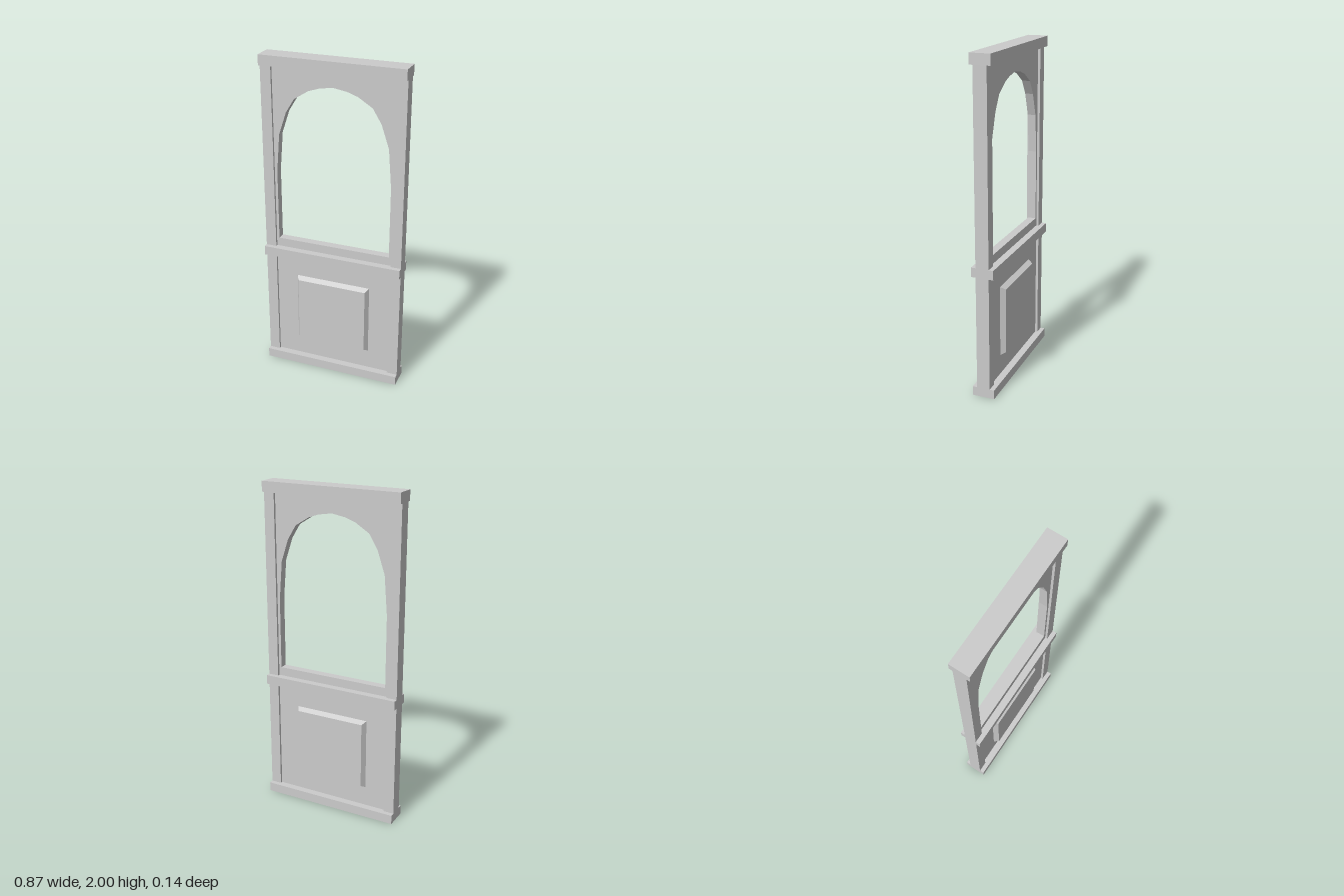
import * as THREE from 'three';

const material = new THREE.MeshStandardMaterial({ color: 0xcccccc, flatShading: true });

export function createModel() {
  const group = new THREE.Group();
  const add = (name, geometry, x = 0, y = 0, z = 0) => {
    const mesh = new THREE.Mesh(geometry, material);
    mesh.name = name;
    mesh.position.set(x, y, z);
    group.add(mesh);
    return mesh;
  };
  const W = 0.866;      // overall width
  const panelZ = 0.025; // half thickness of the recessed panels

  // Horizontal rails: name, bottom, top, depth
  for (const [name, y0, y1, depth] of [
    ['bottomRail', 0, 0.057, 0.136],
    ['middleRail', 0.753, 0.81, 0.136],
    ['topRail', 1.938, 2, 0.123],
  ]) add(name, new THREE.BoxGeometry(W, y1 - y0, depth), 0, (y0 + y1) / 2);

  // Upright stiles, split by the middle rail
  for (const s of [-1, 1]) {
    const side = s > 0 ? 'left' : 'right';
    for (const [part, y0, y1] of [['LowerStile', 0.057, 0.753], ['UpperStile', 0.81, 1.938]])
      add(side + part, new THREE.BoxGeometry(0.065, y1 - y0, 0.08), s * (W / 2 - 0.0325), (y0 + y1) / 2);
  }

  // Lower recessed panel
  add('lowerPanel', new THREE.BoxGeometry(0.736, 0.696, panelZ * 2), 0, 0.405);

  // Upper panel with a faceted arched opening
  const half = [[0.352, 0.863], [0.352, 1.3], [0.333, 1.533], [0.287, 1.67],
    [0.234, 1.756], [0.148, 1.81], [0.084, 1.832]];
  const outline = [...half, [0, 1.846], ...half.map(([x, y]) => [-x, y]).reverse()];
  const toVectors = (points) => points.map(([x, y]) => new THREE.Vector2(x, y));
  const shape = new THREE.Shape(toVectors([[-0.368, 0.81], [0.368, 0.81], [0.368, 1.938], [-0.368, 1.938]]));
  shape.holes.push(new THREE.Path(toVectors(outline)));
  add('archedPanel', new THREE.ExtrudeGeometry(shape, { depth: panelZ * 2, bevelEnabled: false }), 0, 0, -panelZ);

  // Raised fields with bevelled edges, on front and back
  const rise = 0.031;
  for (const s of [1, -1]) {
    const field = new THREE.BoxGeometry(0.47, 0.445, rise);
    const p = field.attributes.position;
    for (let i = 0; i < p.count; i++)
      if (p.getZ(i) > 0) p.setXY(i, p.getX(i) * 0.217 / 0.235, p.getY(i) * 0.205 / 0.2225);
    field.computeVertexNormals();
    const mesh = add(s > 0 ? 'frontRaisedField' : 'backRaisedField', field, 0, 0.403, s * (panelZ + rise / 2));
    if (s < 0) mesh.rotation.y = Math.PI;
  }
  return group;
}
